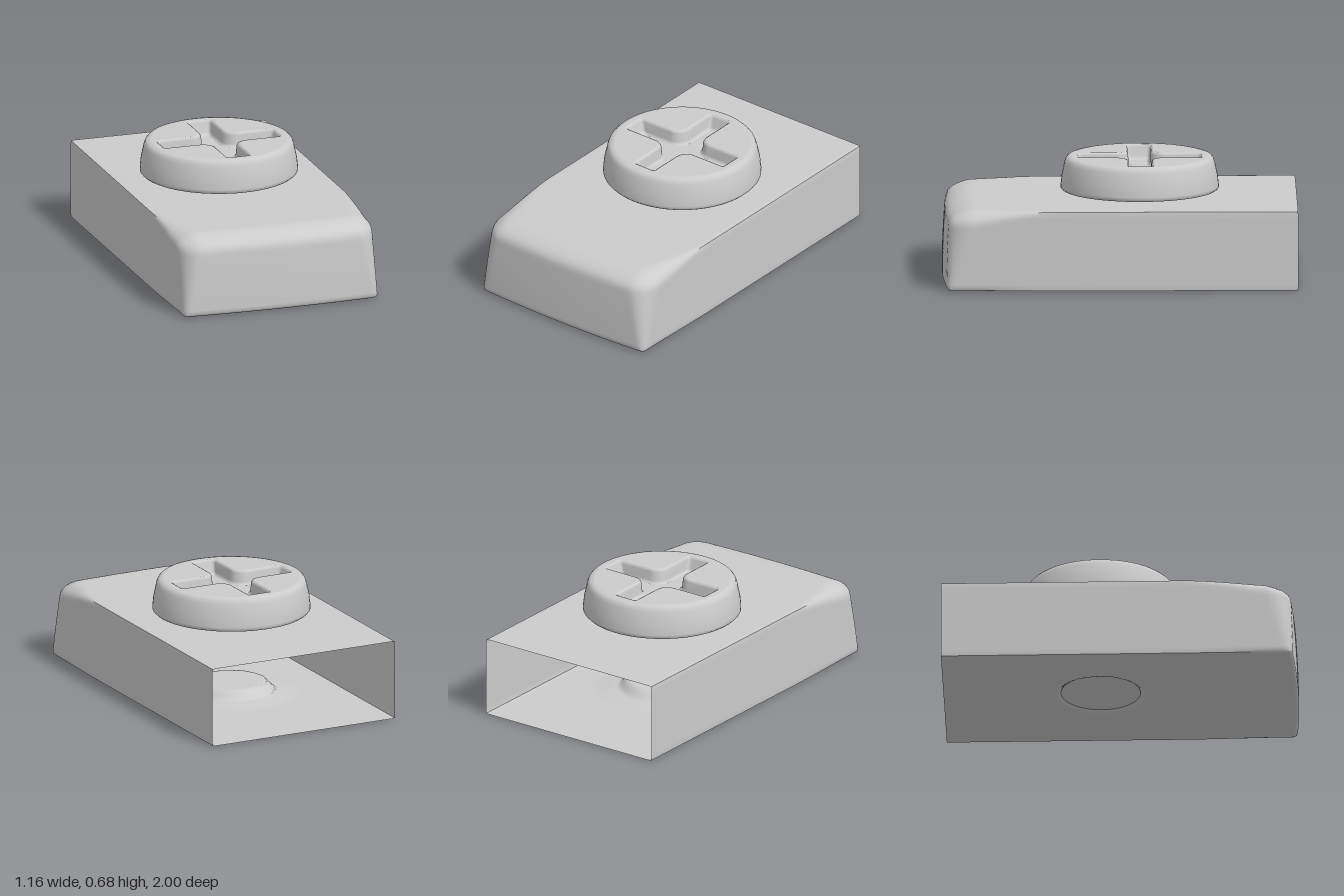
import * as THREE from 'three';
import { toCreasedNormals } from 'three/addons/utils/BufferGeometryUtils.js';

const W = 0.58, H = 0.455, SCREW_Z = -0.115, TOP = 0.675;
const material = new THREE.MeshStandardMaterial({ color: 0xcccccc, side: THREE.DoubleSide });
const { lerp, clamp, smoothstep } = THREE.MathUtils;

function addMesh(parent, name, geometry) {
  const mesh = new THREE.Mesh(geometry, material);
  mesh.name = name;
  parent.add(mesh);
  return mesh;
}

// Hollow housing: a box without its back face, rounded toward the front
function housingGeometry() {
  const box = new THREE.BoxGeometry(2 * W, H, 2, 58, 24, 100);
  const back = box.groups[5];
  box.setIndex(Array.from(box.index.array).slice(0, back.start));
  box.clearGroups();
  const pos = box.attributes.position;
  const p = new THREE.Vector3(), inner = new THREE.Vector3(), d = new THREE.Vector3(), r = new THREE.Vector3();
  for (let i = 0; i < pos.count; i++) {
    p.fromBufferAttribute(pos, i);
    p.y += H / 2;
    const t = p.y / H, front = smoothstep(p.z, 0.35, 0.95);
    // corner radii grow upward and forward
    r.set(
      lerp(0.008, lerp(0.025, 0.13, t), front),
      lerp(0.008, t > 0.5 ? 0.09 : 0.02, front),
      lerp(0.008, lerp(0.03, 0.17, t), front)
    );
    inner.set(
      clamp(p.x, -W + r.x, W - r.x),
      clamp(p.y, r.y, H - r.y),
      Math.min(p.z, 1 - r.z)
    );
    d.subVectors(p, inner).divide(r).normalize().multiply(r);
    p.addVectors(inner, d);
    // bowed, slightly leaning nose
    const nose = smoothstep(p.z, 0.6, 1);
    p.z -= nose * (0.022 * (p.x / W) ** 2 + 0.022 * (p.y / H) ** 2);
    // dimple under the screw
    if (p.y < 0.002) {
      const dist = Math.hypot(p.x, p.z - SCREW_Z);
      p.y += 0.015 * (1 - smoothstep(dist, 0.24, 0.4)) + 0.05 * (1 - smoothstep(dist, 0.19, 0.25));
    }
    pos.setXYZ(i, p.x, p.y, p.z);
  }
  return toCreasedNormals(box, 0.8);
}

// Outline of a cross with rounded arm ends and filleted inner corners
function crossOutline(armLength, halfWidth, fillet, corner = 0.018) {
  const points = [];
  for (let q = 0; q < 4; q++) {
    const arc = (cx, cy, radius, from, to, steps) => {
      for (let k = 0; k <= steps; k++) {
        const a = lerp(from, to, k / steps);
        points.push(new THREE.Vector2(cx + radius * Math.cos(a), cy + radius * Math.sin(a))
          .rotateAround(new THREE.Vector2(), q * Math.PI / 2));
      }
    };
    const a = armLength - corner, w = halfWidth - corner, f = halfWidth + fillet;
    arc(a, w, corner, 0, Math.PI / 2, 4);
    arc(f, f, fillet, Math.PI * 1.5, Math.PI, 8);
    arc(w, a, corner, 0, Math.PI / 2, 4);
  }
  return points;
}

// Walls that join a stack of matching outlines, facing inward
function recessWalls(rings) {
  const n = rings[0].points.length, positions = [], index = [];
  rings.forEach(({ points, y }) => points.forEach(v => positions.push(v.x, y, -v.y)));
  for (let k = 0; k < rings.length - 1; k++) {
    for (let i = 0; i < n; i++) {
      const a = k * n + i, b = k * n + (i + 1) % n;
      index.push(a, b + n, a + n, a, b, b + n);
    }
  }
  const geometry = new THREE.BufferGeometry();
  geometry.setAttribute('position', new THREE.Float32BufferAttribute(positions, 3));
  geometry.setIndex(index);
  geometry.computeVertexNormals();
  return geometry;
}

function createScrew() {
  const screw = new THREE.Group();
  screw.name = 'screw';
  // neck and tapered head
  const profile = [
    [0.2, 0.44], [0.205, 0.455], [0.225, 0.47], [0.27, 0.479], [0.3, 0.482], [0.42, 0.483], [0.437, 0.486],
    [0.446, 0.495], [0.446, 0.51], [0.44, 0.565], [0.424, 0.64], [0.416, 0.66], [0.405, 0.671], [0.385, TOP]
  ].map(([x, y]) => new THREE.Vector2(x, y));
  addMesh(screw, 'screwHead', toCreasedNormals(new THREE.LatheGeometry(profile, 64), 0.8));

  // cross recess, from the rounded rim down to the floor
  const rings = [
    [0.355, 0.078, 0.062, TOP], [0.347, 0.07, 0.066, 0.671], [0.342, 0.064, 0.07, 0.66],
    [0.328, 0.06, 0.073, 0.61], [0.318, 0.056, 0.076, 0.598], [0.3, 0.046, 0.084, 0.592]
  ].map(([a, w, f, y]) => ({ points: crossOutline(a, w, f), y }));
  addMesh(screw, 'crossRecess', recessWalls(rings));

  const disc = [];
  for (let i = 0; i < 64; i++) {
    const a = i * Math.PI / 32;
    disc.push(new THREE.Vector2(0.385 * Math.cos(a), 0.385 * Math.sin(a)));
  }
  const face = new THREE.Shape(disc);
  face.holes.push(new THREE.Path(rings[0].points));
  addMesh(screw, 'screwFace', new THREE.ShapeGeometry(face).rotateX(-Math.PI / 2)).position.y = TOP;

  const floor = rings[rings.length - 1];
  addMesh(screw, 'recessFloor', new THREE.ShapeGeometry(new THREE.Shape(floor.points)).rotateX(-Math.PI / 2))
    .position.y = floor.y;

  // lower end of the screw, seen in the dimple
  addMesh(screw, 'screwEnd', new THREE.CircleGeometry(0.225, 48).rotateX(Math.PI / 2)).position.y = 0.03;

  screw.position.z = SCREW_Z;
  return screw;
}

export function createModel() {
  const model = new THREE.Group();
  model.name = 'terminalClamp';
  addMesh(model, 'housing', housingGeometry());
  model.add(createScrew());
  return model;
}
